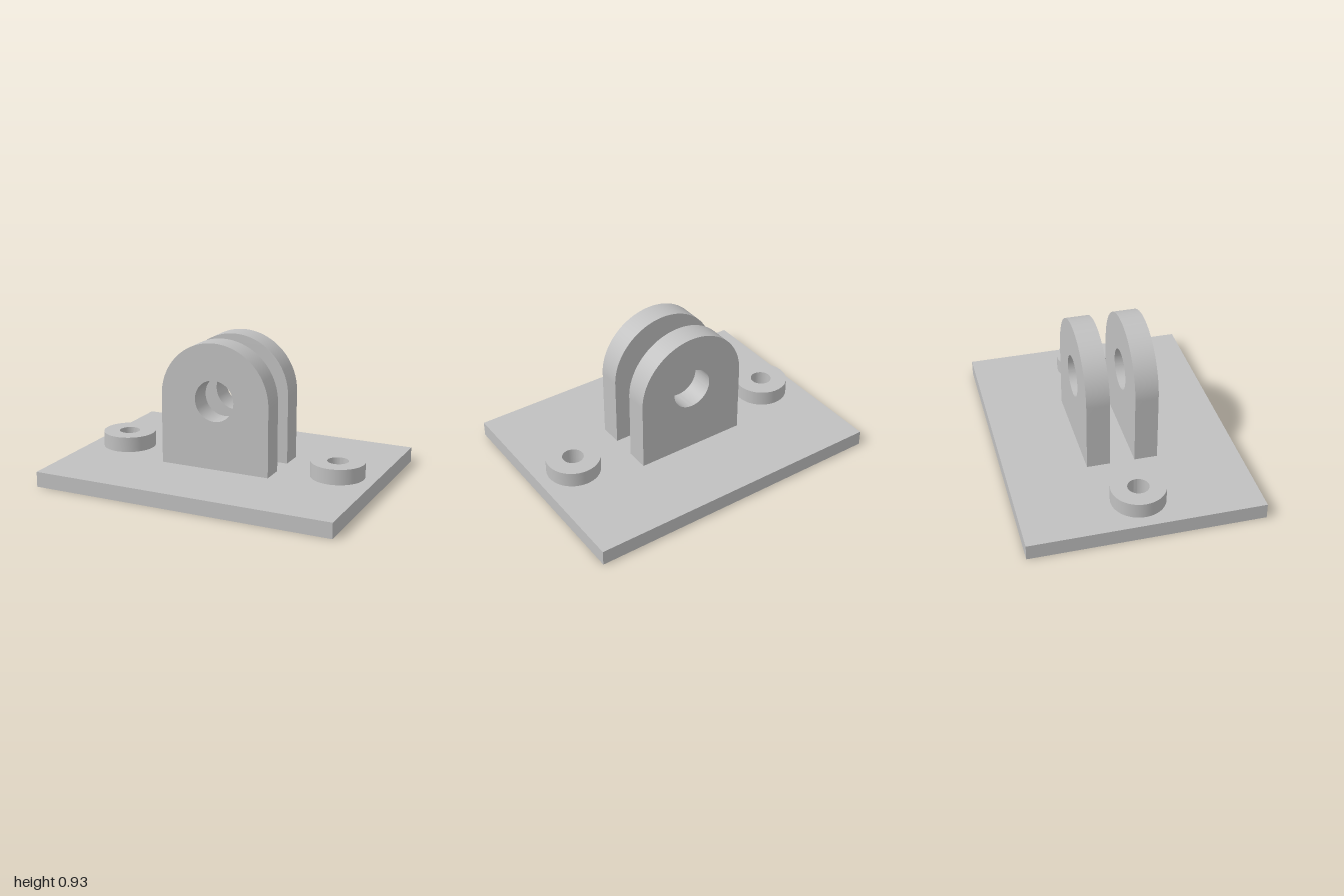
import * as THREE from 'three';
import { toCreasedNormals } from 'three/addons/utils/BufferGeometryUtils.js';

const PLATE_TOP = 0.1;
const BOLT_X = 0.75, BOLT_R = 0.068;

function circle(x, y, r) {
  return new THREE.Path().absarc(x, y, r, 0, Math.PI * 2, true);
}

// Extrude a shape with smooth curved walls and sharp rims
function extrude(shape, depth) {
  const geometry = new THREE.ExtrudeGeometry(shape, { depth, bevelEnabled: false, curveSegments: 48 });
  return toCreasedNormals(geometry, 0.6);
}

export function createModel() {
  const group = new THREE.Group();
  const grey = new THREE.MeshStandardMaterial({ color: 0xc0c0c0 });
  grey.name = 'grey metal';

  function add(name, geometry, x, y, z) {
    const mesh = new THREE.Mesh(geometry, grey);
    mesh.name = name;
    mesh.position.set(x, y, z);
    group.add(mesh);
  }

  // Base plate with two bolt holes
  const plate = new THREE.Shape();
  plate.moveTo(-1, -0.75).lineTo(1, -0.75).lineTo(1, 0.75).lineTo(-1, 0.75).closePath();
  for (const side of [-1, 1]) plate.holes.push(circle(side * BOLT_X, 0, BOLT_R));
  add('basePlate', extrude(plate, PLATE_TOP).rotateX(-Math.PI / 2), 0, 0, 0);

  // Raised ring around each bolt hole
  const ring = new THREE.Shape();
  ring.absarc(0, 0, 0.174, 0, Math.PI * 2, false);
  ring.holes.push(circle(0, 0, BOLT_R));
  const ringGeometry = extrude(ring, 0.1).rotateX(-Math.PI / 2);
  add('leftBoltBoss', ringGeometry, BOLT_X, PLATE_TOP, 0);
  add('rightBoltBoss', ringGeometry, -BOLT_X, PLATE_TOP, 0);

  // Pair of round-topped lugs with a pin hole
  const lugR = 0.372, pinY = 0.553;
  const lug = new THREE.Shape();
  lug.moveTo(-lugR, PLATE_TOP).lineTo(lugR, PLATE_TOP).lineTo(lugR, pinY);
  lug.absarc(0, pinY, lugR, 0, Math.PI, false);
  lug.closePath();
  lug.holes.push(circle(0, pinY, 0.134));
  const lugGeometry = extrude(lug, 0.15);
  add('frontLug', lugGeometry, 0, 0, 0.081);
  add('backLug', lugGeometry, 0, 0, -0.231);

  return group;
}
